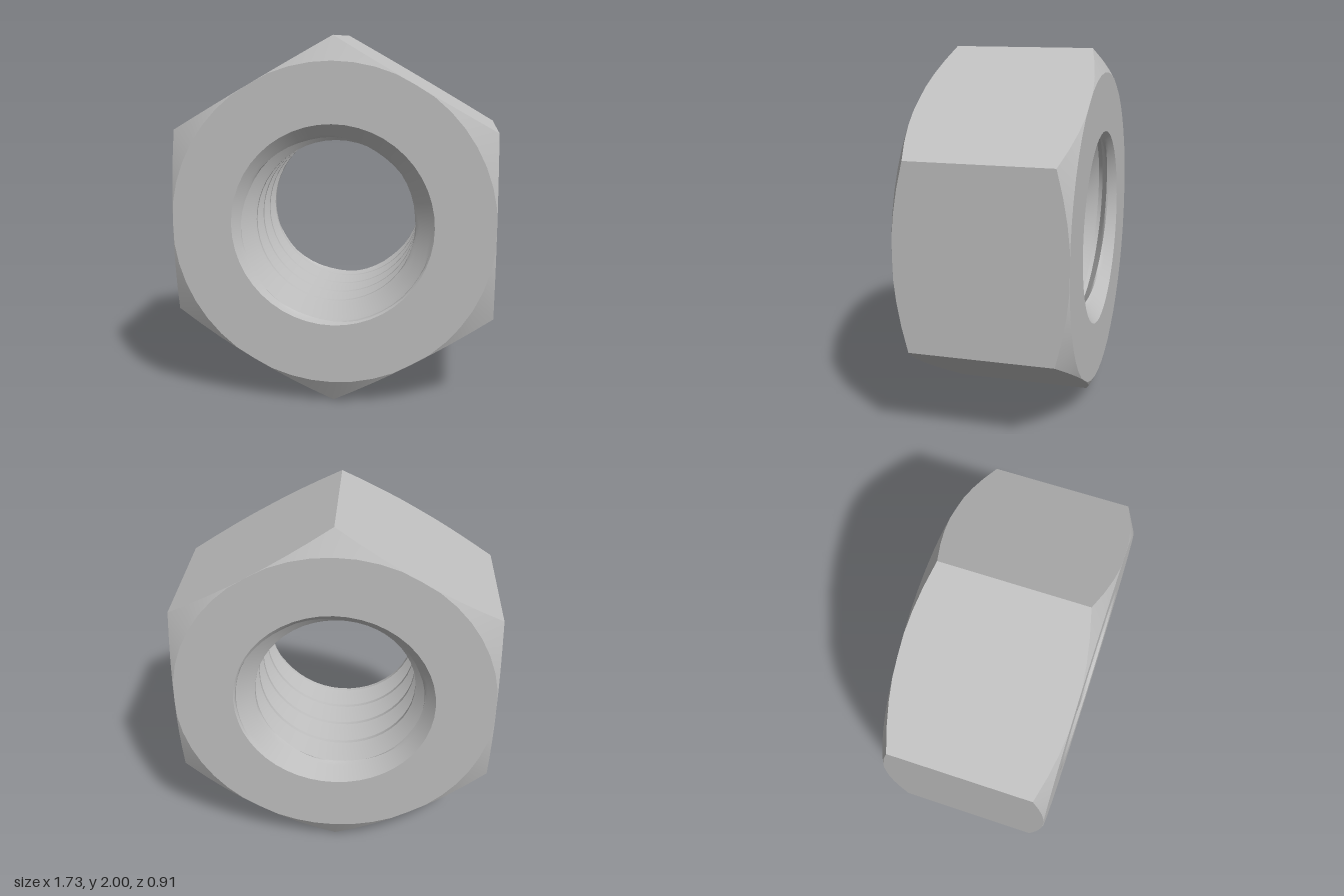
import * as THREE from 'three';
import { toCreasedNormals } from 'three/addons/utils/BufferGeometryUtils.js';

const SEG = 48;            // steps around the axis (a multiple of 6)
const HALF = 0.455;        // half thickness
const FLAT_R = 0.87;       // edge of the flat end faces
const MOUTH_R = 0.545;     // countersink at the end faces
const CREST_R = 0.44, ROOT_R = 0.535, PITCH = 0.18, STEPS = 16;

// Surface around z: point(theta, j) returns [radius, z] for each row j
function sweep(rows, point) {
  const pos = [], index = [];
  for (let j = 0; j < rows; j++) {
    for (let i = 0; i <= SEG; i++) {
      const t = (i / SEG) * Math.PI * 2;
      const [r, z] = point(t, j);
      pos.push(r * Math.cos(t), r * Math.sin(t), z);
    }
  }
  const same = (a, b) => [0, 1, 2].every(k => Math.abs(pos[a * 3 + k] - pos[b * 3 + k]) < 1e-6);
  const tri = (a, b, c) => {
    if (!same(a, b) && !same(b, c) && !same(a, c)) index.push(a, b, c);
  };
  for (let j = 0; j < rows - 1; j++) {
    for (let i = 0; i < SEG; i++) {
      const a = j * (SEG + 1) + i, d = a + SEG + 1;
      tri(a, a + 1, d + 1);
      tri(a, d + 1, d);
    }
  }
  const g = new THREE.BufferGeometry();
  g.setAttribute('position', new THREE.Float32BufferAttribute(pos, 3));
  g.setIndex(index);
  // enlarged while creasing so that close vertices stay distinct
  g.scale(100, 100, 100);
  const out = toCreasedNormals(g, 0.4);
  out.scale(0.01, 0.01, 0.01);
  return out;
}

// Hexagon radius at an angle, corners at the top and bottom
function hexRadius(t) {
  const sector = Math.PI / 3;
  const a = t - Math.round(t / sector) * sector;
  return Math.cos(Math.PI / 6) / Math.cos(a);
}

// Hexagonal body with conical corner chamfers
function bodyPoint(t, j) {
  const hex = hexRadius(t);
  const chamferZ = HALF - 0.07 * Math.max(0, (hex - FLAT_R) / (1 - FLAT_R));
  const flat = Math.min(FLAT_R, hex);
  return [
    [MOUTH_R, -HALF], [flat, -HALF], [hex, -chamferZ],
    [hex, chamferZ], [flat, HALF], [MOUTH_R, HALF],
  ][j];
}

// Thread radius within one pitch: crest, flank, root, flank
function threadRadius(step) {
  const s = ((step % STEPS) + STEPS) % STEPS;
  if (s <= 2) return CREST_R;
  if (s < 8) return CREST_R + (ROOT_R - CREST_R) * (s - 2) / 6;
  if (s <= 10) return ROOT_R;
  return ROOT_R - (ROOT_R - CREST_R) * (s - 10) / 6;
}

// Helical bore, widened by a countersink at both ends
const TURNS = 4;
function borePoint(t, j) {
  const step = TURNS * STEPS - j;
  const raw = (step / STEPS + t / (Math.PI * 2)) * PITCH;
  const z = THREE.MathUtils.clamp(raw, -HALF, HALF);
  if (z !== raw) return [MOUTH_R, z];
  const cone = MOUTH_R - (HALF - Math.abs(z)) * 1.15;
  return [Math.max(threadRadius(step), cone), z];
}

export function createModel() {
  const group = new THREE.Group();
  group.name = 'hexNut';
  const steel = new THREE.MeshStandardMaterial({ color: 0xc0c0c0 });
  steel.name = 'steel grey';

  const body = new THREE.Mesh(sweep(6, bodyPoint), steel);
  body.name = 'hexBody';
  const bore = new THREE.Mesh(sweep(TURNS * STEPS * 2 + 1, borePoint), steel);
  bore.name = 'threadedBore';

  for (const part of [body, bore]) {
    part.position.y = 1;
    group.add(part);
  }
  return group;
}
